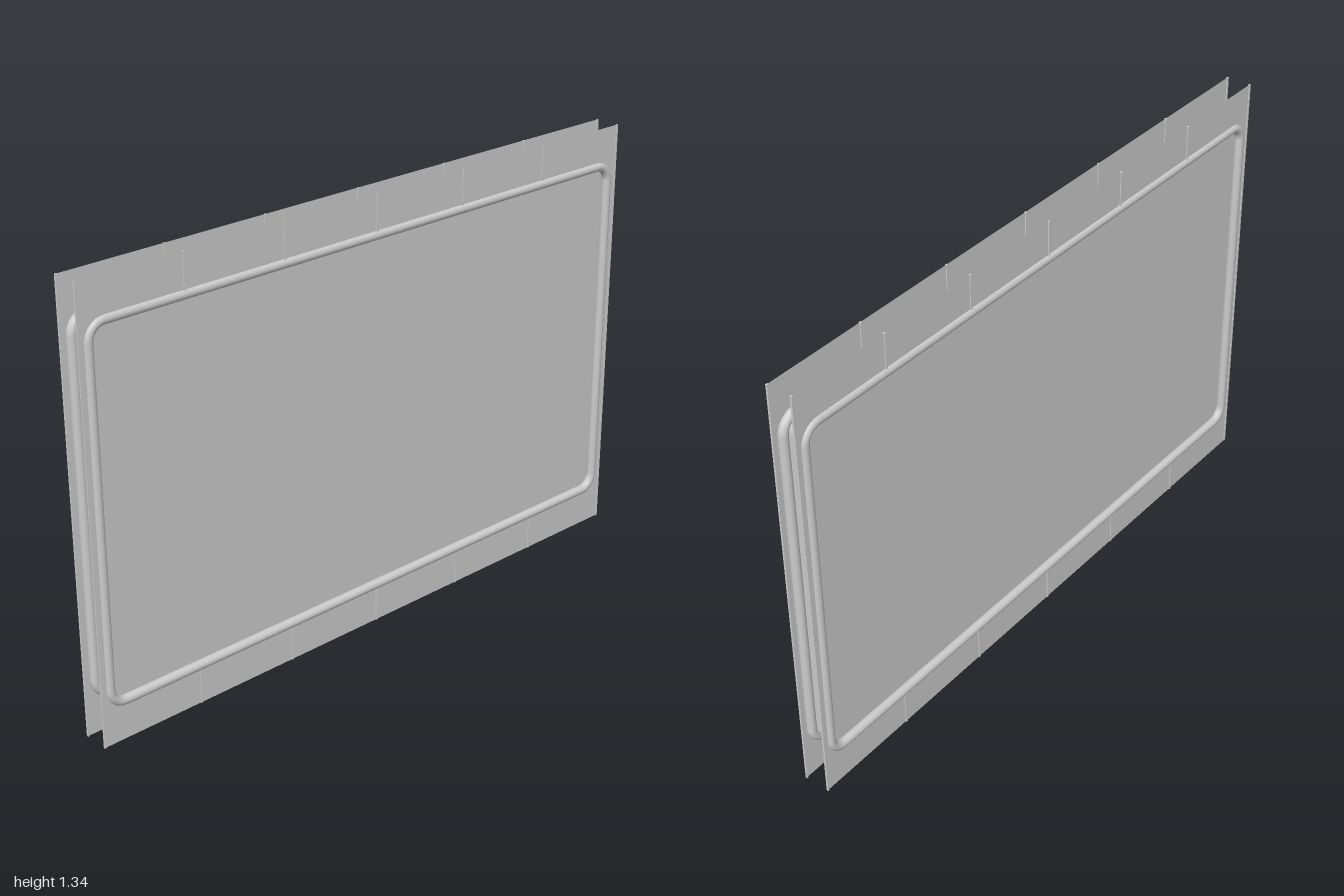
import * as THREE from 'three';

const HEIGHT = 1.335, MID = HEIGHT / 2;
const BEAD = { w: 0.967, h: 0.549, corner: 0.05, r: 0.0145 };
const SEAM = 0.006;
const material = new THREE.MeshStandardMaterial({ color: 0xcccccc, side: THREE.DoubleSide });

function addMesh(parent, name, geometry, x = 0, y = 0, z = 0) {
  const mesh = new THREE.Mesh(geometry, material);
  mesh.name = name;
  mesh.position.set(x, y, z);
  parent.add(mesh);
}

// Trace a rounded rectangle with half sizes w, h
function roundedRect(path, w, h, r) {
  path.absarc(w - r, h - r, r, 0, Math.PI / 2);
  path.absarc(-w + r, h - r, r, Math.PI / 2, Math.PI);
  path.absarc(-w + r, -h + r, r, Math.PI, Math.PI * 1.5);
  path.absarc(w - r, -h + r, r, Math.PI * 1.5, Math.PI * 2);
  return path;
}

// Round bead swept along a rounded rectangle (half sizes to the bead centre)
function beadGeometry({ w, h, corner, r }, cornerSteps = 8, sides = 16) {
  const positions = [], normals = [], index = [];
  const rings = 4 * (cornerSteps + 1);
  [[1, 1], [-1, 1], [-1, -1], [1, -1]].forEach(([sx, sy], q) => {
    for (let i = 0; i <= cornerSteps; i++) {
      const a = (q + i / cornerSteps) * Math.PI / 2;
      for (let j = 0; j < sides; j++) {
        const t = j / sides * Math.PI * 2;
        const d = corner + r * Math.cos(t);
        positions.push(sx * (w - corner) + d * Math.cos(a), sy * (h - corner) + d * Math.sin(a), r * Math.sin(t));
        normals.push(Math.cos(t) * Math.cos(a), Math.cos(t) * Math.sin(a), Math.sin(t));
      }
    }
  });
  for (let i = 0; i < rings; i++) {
    for (let j = 0; j < sides; j++) {
      const n = (i + 1) % rings, k = (j + 1) % sides;
      const a = i * sides + j, b = n * sides + j, c = n * sides + k, d = i * sides + k;
      index.push(a, b, c, a, c, d);
    }
  }
  const g = new THREE.BufferGeometry();
  g.setAttribute('position', new THREE.Float32BufferAttribute(positions, 3));
  g.setAttribute('normal', new THREE.Float32BufferAttribute(normals, 3));
  g.setIndex(index);
  return g;
}

// Rounded slab, centred on its depth
function slabGeometry(w, h, r, depth) {
  const shape = roundedRect(new THREE.Shape(), w, h, r);
  const g = new THREE.ExtrudeGeometry(shape, { depth, bevelEnabled: false, curveSegments: 8 });
  return g.translate(0, 0, -depth / 2);
}

// Thin rectangular sheet with an opening along the bead's centre line
function sheetGeometry() {
  const s = new THREE.Shape();
  s.moveTo(-1, -MID).lineTo(1, -MID).lineTo(1, MID).lineTo(-1, MID).closePath();
  s.holes.push(roundedRect(new THREE.Path(), BEAD.w, BEAD.h, BEAD.corner));
  return new THREE.ShapeGeometry(s, 8);
}

export function createModel() {
  const model = new THREE.Group();
  model.name = 'panelBoard';

  // Core whose two faces are recessed inside the beads
  addMesh(model, 'core', slabGeometry(0.957, 0.543, 0.04, 0.052), 0, MID, 0);

  const sheet = sheetGeometry();
  const bead = beadGeometry(BEAD);
  const stripHeight = MID - BEAD.h;
  const seam = new THREE.BoxGeometry(SEAM, stripHeight, SEAM);
  const edge = new THREE.BoxGeometry(SEAM, HEIGHT, SEAM);

  for (const side of [1, -1]) {
    const face = new THREE.Group();
    face.name = side > 0 ? 'frontFace' : 'backFace';
    face.position.set(0, MID, side * 0.039);
    model.add(face);
    addMesh(face, 'sheet', sheet);
    addMesh(face, 'frameBead', bead, 0, 0, -side * 0.005);
    // Upright seams on the top and bottom strips
    for (let i = -2; i <= 2; i++) {
      for (const end of [1, -1]) addMesh(face, 'seam', seam, i / 3, end * (MID - stripHeight / 2));
    }
    // Side edges of the sheet
    for (const end of [1, -1]) addMesh(face, 'sideEdge', edge, end * (1 - SEAM / 2));
  }
  return model;
}
